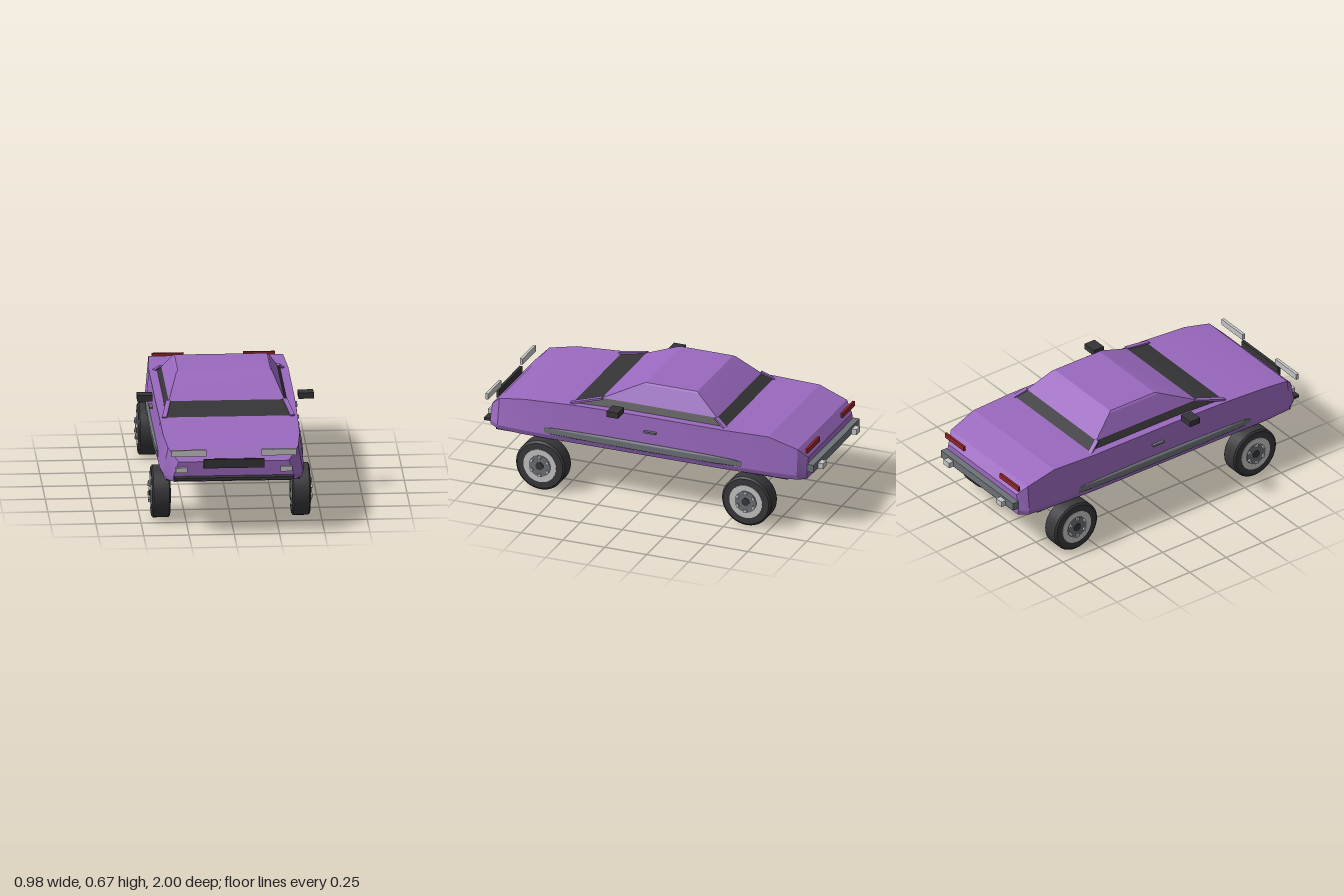
import * as THREE from 'three';
import { toCreasedNormals } from 'three/addons/utils/BufferGeometryUtils.js';

const mat = (name, color) => {
  const m = new THREE.MeshStandardMaterial({ color });
  m.name = name;
  return m;
};

// Closed skin through a list of rings of [x, y, z] points, capped at both ends
function loft(rings) {
  const n = rings[0].length, last = (rings.length - 1) * n, idx = [];
  for (let i = 0; i < rings.length - 1; i++) {
    for (let j = 0; j < n; j++) {
      const a = i * n + j, b = i * n + (j + 1) % n;
      idx.push(a, b, b + n, a, b + n, a + n);
    }
  }
  for (let j = 1; j < n - 1; j++) {
    idx.push(0, j + 1, j, last, last + j, last + j + 1);
  }
  const g = new THREE.BufferGeometry();
  g.setAttribute('position', new THREE.Float32BufferAttribute(rings.flat(2), 3));
  g.setIndex(idx);
  return toCreasedNormals(g, 0.3);
}

export function createModel() {
  const paint = mat('purple paint', 0x9a69bf);
  const glass = mat('dark trim', 0x353537);
  const rubber = mat('tyre rubber', 0x39393c);
  const under = mat('underside black', 0x1f1f21);
  const silver = mat('silver', 0xc6c6c6);
  const steel = mat('grey metal', 0x6d7277);
  const red = mat('tail light red', 0x912424);

  const car = new THREE.Group();
  car.name = 'car';
  const add = (name, geo, material, parent = car) => {
    const m = new THREE.Mesh(geo, material);
    m.name = name;
    parent.add(m);
    return m;
  };
  // Box given by its limits on each axis
  const box = (name, material, [x0, x1], [y0, y1], [z0, z1]) =>
    add(name, new THREE.BoxGeometry(x1 - x0, y1 - y0, z1 - z0), material)
      .position.set((x0 + x1) / 2, (y0 + y1) / 2, (z0 + z1) / 2);
  // The same box on both sides of the car
  const pair = (name, material, [x0, x1], y, z) => {
    box(name + 'Left', material, [x0, x1], y, z);
    box(name + 'Right', material, [-x1, -x0], y, z);
  };

  // Body: z, top height, half widths at top, sill and floor
  const body = [
    [-0.932, 0.42, 0.315, 0.335, 0.33],
    [-0.885, 0.475, 0.355, 0.372, 0.365],
    [-0.715, 0.53, 0.372, 0.39, 0.38],
    [-0.45, 0.53, 0.386, 0.4, 0.39],
    [0.14, 0.53, 0.386, 0.4, 0.39],
    [0.46, 0.521, 0.382, 0.4, 0.39],
    [0.735, 0.504, 0.378, 0.4, 0.39],
    [0.895, 0.475, 0.36, 0.388, 0.378],
    [0.96, 0.41, 0.305, 0.335, 0.33],
  ];
  add('body', loft(body.map(([z, top, wt, ws, wf]) => [
    [wf, 0.297, z], [ws, 0.325, z], [wt, top, z],
    [-wt, top, z], [-ws, 0.325, z], [-wf, 0.297, z],
  ])), paint);
  box('floorPan', under, [-0.37, 0.37], [0.29, 0.3], [-0.83, 0.91]);

  // Cabin: dark window band under a painted roof
  const level = (y, w, front, rear) =>
    [[w, y, front], [w, y, rear], [-w, y, rear], [-w, y, front]];
  add('windowBand', loft([
    level(0.51, 0.352, 0.5, -0.485),
    level(0.567, 0.318, 0.295, -0.385),
  ]), glass);
  add('roof', loft([
    level(0.566, 0.32, 0.298, -0.388),
    level(0.666, 0.266, 0.085, -0.258),
    level(0.674, 0.256, 0.06, -0.245),
  ]), paint);

  // Slanting pillars at the four cabin corners
  for (const s of [1, -1]) {
    for (const [name, zb, zt] of [['front', 0.47, 0.295], ['rear', -0.46, -0.385]]) {
      const a = new THREE.Vector3(s * 0.354, 0.522, zb);
      const b = new THREE.Vector3(s * 0.322, 0.567, zt);
      const p = add(name + 'Pillar', new THREE.BoxGeometry(0.026, 0.012, a.distanceTo(b)), paint);
      p.position.copy(a).add(b).multiplyScalar(0.5);
      p.lookAt(b);
    }
  }

  // Front details
  box('frontLip', glass, [-0.33, 0.33], [0.312, 0.328], [0.94, 1]);
  box('grille', glass, [-0.168, 0.168], [0.38, 0.43], [0.975, 0.992]);
  pair('headlight', silver, [0.152, 0.345], [0.447, 0.482], [0.968, 0.985]);
  pair('foglight', silver, [0.257, 0.322], [0.352, 0.38], [0.955, 0.978]);

  // Rear details
  box('rearBumper', steel, [-0.333, 0.333], [0.34, 0.385], [-0.97, -0.93]);
  pair('tailLight', red, [0.165, 0.34], [0.455, 0.483], [-0.938, -0.925]);
  pair('bumperBlock', silver, [0.217, 0.267], [0.34, 0.372], [-1, -0.965]);

  // Side details
  pair('mirror', glass, [0.403, 0.488], [0.539, 0.573], [0.133, 0.202]);
  pair('doorHandle', steel, [0.38, 0.409], [0.44, 0.45], [-0.058, 0.015]);
  const strip = new THREE.CapsuleGeometry(0.012, 0.026, 4, 10);
  strip.scale(1, 1, 1.235 / 0.024);
  for (const s of [1, -1]) {
    add('sideStrip', strip, steel).position.set(s * 0.4, 0.35, 0.022);
  }

  // Wheels: axis along x, outer face towards +x
  const disc = (r, x0, x1, seg = 32) =>
    new THREE.CylinderGeometry(r, r, x1 - x0, seg).rotateZ(-Math.PI / 2).translate((x0 + x1) / 2, 0, 0);
  const tyre = toCreasedNormals(new THREE.LatheGeometry(
    [[0, -0.051], [0.135, -0.051], [0.146, -0.043], [0.146, 0.043], [0.135, 0.051], [0, 0.051]]
      .map(([r, h]) => new THREE.Vector2(r, h)), 40).rotateZ(-Math.PI / 2), 0.5);
  for (const s of [1, -1]) {
    for (const [name, z] of [['front', 0.62], ['rear', -0.61]]) {
      const wheel = new THREE.Group();
      wheel.name = name + (s > 0 ? 'LeftWheel' : 'RightWheel');
      wheel.position.set(s * 0.387, 0.147, z);
      wheel.rotation.y = s > 0 ? 0 : Math.PI;
      car.add(wheel);
      add('tyre', tyre, rubber, wheel);
      add('rim', disc(0.098, -0.053, 0.054), silver, wheel);
      add('rimCentre', disc(0.064, -0.055, 0.057), steel, wheel);
      add('hub', disc(0.023, -0.058, 0.062, 20), rubber, wheel);
      for (let k = 0; k < 6; k++) {
        const a = k * Math.PI / 3 + Math.PI / 6;
        const lug = add('lug', new THREE.BoxGeometry(0.014, 0.02, 0.014), silver, wheel);
        lug.position.set(0.059, 0.054 * Math.sin(a), 0.054 * Math.cos(a));
        lug.rotation.x = -a;
      }
    }
  }
  return car;
}
